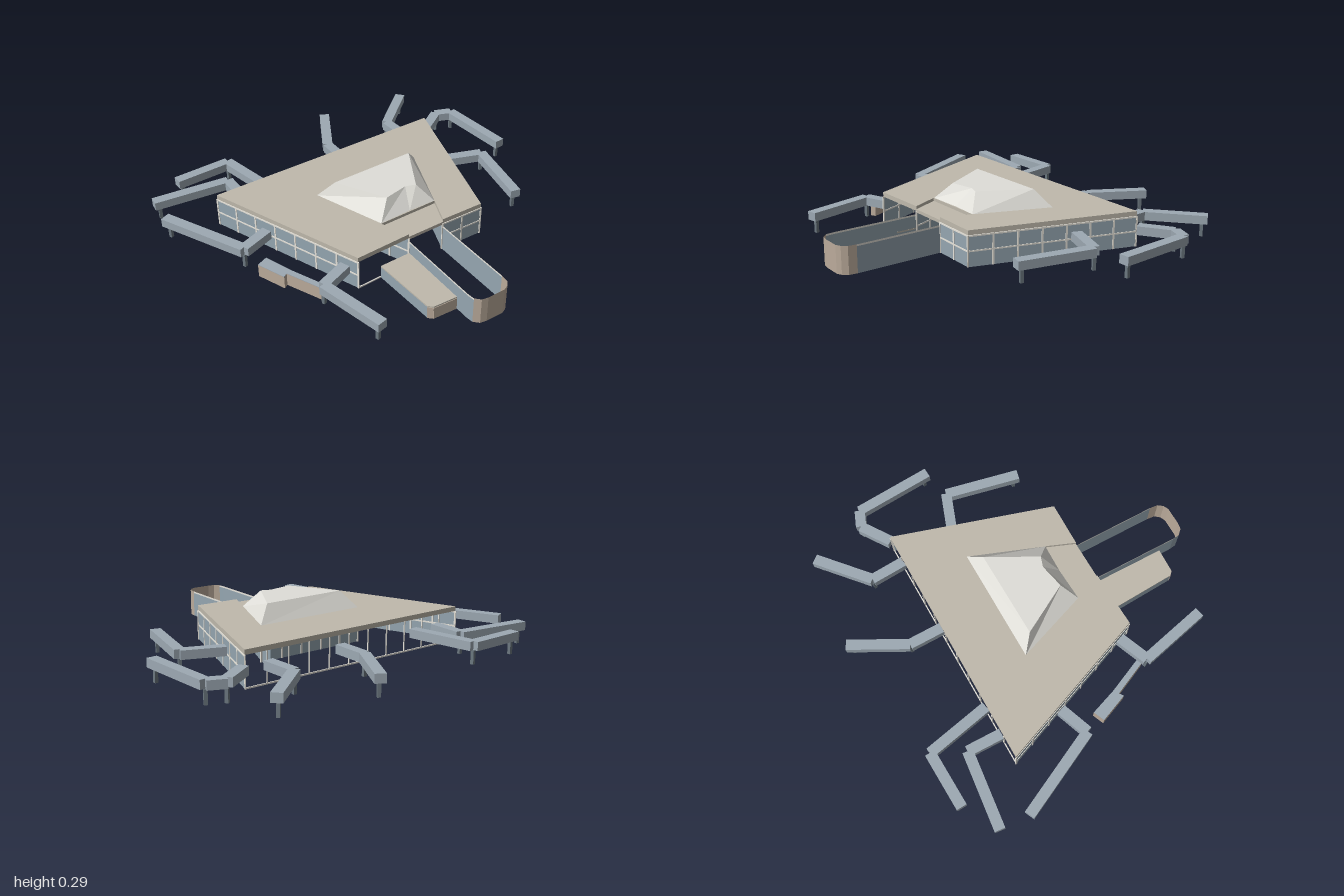
import * as THREE from 'three';

const mat = (name, color, side = THREE.FrontSide) => {
  const m = new THREE.MeshStandardMaterial({ color, side });
  m.name = name;
  return m;
};

export function createModel() {
  const model = new THREE.Group();
  model.name = 'terminal';
  const stone = mat('roofStone', 0xc0baad);
  const glass = mat('blueGlass', 0x95a6b1, THREE.DoubleSide);
  const metal = mat('bridgeMetal', 0x9da9b3);
  const dark = mat('legSteel', 0x6c7880);
  const beige = mat('beigePanel', 0xbbab9b, THREE.DoubleSide);
  const frame = mat('paleFrame', 0xe8e5dc, THREE.DoubleSide);
  const pale = mat('skylightPanel', 0xe0dfd9, THREE.DoubleSide);

  const add = (name, geo, material, parent = model) => {
    const mesh = new THREE.Mesh(geo, material);
    mesh.name = name;
    parent.add(mesh);
    return mesh;
  };

  // Vertical prism over a plan outline of [x, z] points
  const prism = (name, pts, y0, y1, material) => {
    const shape = new THREE.Shape(pts.map(([x, z]) => new THREE.Vector2(x, -z)));
    const geo = new THREE.ExtrudeGeometry(shape, { depth: y1 - y0, bevelEnabled: false });
    geo.rotateX(-Math.PI / 2).translate(0, y0, 0);
    return add(name, geo, material);
  };

  // Upright slab between two plan points; a flat sheet when it has no thickness
  const slab = (name, a, b, y0, y1, thick, material, parent) => {
    const dx = b[0] - a[0], dz = b[1] - a[1], len = Math.hypot(dx, dz);
    const geo = thick ? new THREE.BoxGeometry(len, y1 - y0, thick) : new THREE.PlaneGeometry(len, y1 - y0);
    const mesh = add(name, geo, material, parent);
    mesh.position.set((a[0] + b[0]) / 2, (y0 + y1) / 2, (a[1] + b[1]) / 2);
    mesh.rotation.y = -Math.atan2(dz, dx);
    return mesh;
  };

  // Framed wall: optional glass, posts at even spacing, rails at given heights
  const wall = (name, a, b, top, rails, postWidth, glazed = true) => {
    const g = new THREE.Group();
    g.name = name;
    model.add(g);
    const len = Math.hypot(b[0] - a[0], b[1] - a[1]);
    const n = Math.max(1, Math.round(len / 0.13));
    const at = (t) => [a[0] + (b[0] - a[0]) * t, a[1] + (b[1] - a[1]) * t];
    if (glazed) slab('glazing', a, b, 0, top, 0, glass, g);
    for (let i = 0; i <= n; i++) {
      const t = i / n, h = postWidth / 2 / len;
      slab('mullion', at(t - h), at(t + h), 0, top, 0.006, frame, g);
    }
    for (const y of rails) slab('rail', a, b, y, y + 0.008, 0.006, frame, g);
  };

  // Main roof slab with an entrance notch and a lower roof inside it
  const west = [-0.42, -0.70], north = [0.43, -0.33], east = [0.36, 0.46], south = [-0.55, 0.70];
  const notchN = [0.40, -0.08], notchS = [0.38, 0.14];
  const coreN = [0.25, -0.16], coreS = [0.22, 0.19], coreNW = [-0.14, -0.36], coreSW = [-0.20, 0.29];
  prism('mainRoof', [west, north, notchN, coreN, coreS, notchS, east, south], 0.169, 0.195, stone);
  prism('entranceRoof', [coreN, notchN, notchS, coreS], 0.16, 0.178, stone);

  // Outer walls: glazed at the front, back and north-east, open frames elsewhere
  wall('frontWall', south, east, 0.168, [0.08, 0.16], 0.01);
  wall('backWall', west, north, 0.168, [0.08, 0.16], 0.01);
  wall('sideWall', north, notchN, 0.168, [0.08, 0.16], 0.01);
  wall('openSideFrame', south, west, 0.168, [0], 0.005, false);
  slab('openSideSill', notchS, east, 0, 0.007, 0.006, frame);

  // Glazed core below the skylight
  wall('coreSideWall', coreNW, coreSW, 0.168, [0.08], 0.01);
  wall('coreFrontWall', coreSW, notchS, 0.168, [0.08], 0.01);
  slab('coreBackWall', notchN, [-0.30, -0.435], 0, 0.168, 0, glass);

  // Faceted skylight with a pinched east side
  const base = [coreNW, coreN, [0.23, 0.0], coreS, coreSW];
  const crown = [[-0.085, -0.27], [0.17, -0.095], [0.145, -0.04], [0.16, 0.10], [-0.125, 0.22]];
  const tri = [];
  const low = ([x, z]) => [x, 0.193, z], high = ([x, z]) => [x, 0.287, z];
  base.forEach((p, i) => {
    const j = (i + 1) % 5;
    tri.push(...low(p), ...high(crown[i]), ...low(base[j]));
    tri.push(...high(crown[i]), ...high(crown[j]), ...low(base[j]));
  });
  for (const [i, j] of [[3, 4], [4, 0], [0, 1]]) {
    tri.push(...high(crown[2]), ...high(crown[i]), ...high(crown[j]));
  }
  // Each triangle is turned so its corners run counter-clockwise from outside
  for (let k = 0; k < tri.length; k += 9) {
    const [a, b, c] = [0, 3, 6].map((o) => new THREE.Vector3().fromArray(tri, k + o));
    const n = b.clone().sub(a).cross(c.clone().sub(a));
    if (n.y < 0) {
      b.toArray(tri, k + 6);
      c.toArray(tri, k + 3);
    }
  }
  const sky = new THREE.BufferGeometry();
  sky.setAttribute('position', new THREE.Float32BufferAttribute(tri, 3));
  sky.computeVertexNormals();
  add('skylight', sky, pale);

  // Open-topped hall of thin sheets with a rounded beige end
  const hall = [notchN, [0.88, -0.025], [0.925, -0.015], [0.95, 0.01], [0.96, 0.04],
    [0.95, 0.14], [0.94, 0.175], [0.91, 0.198], [0.87, 0.198], notchS];
  for (let i = 0; i < hall.length - 1; i++) {
    const glazed = i === 0 || i >= 7;
    slab(glazed ? 'hallGlassWall' : 'hallEndWall', hall[i], hall[i + 1], 0, 0.141, 0, glazed ? glass : beige);
    slab('hallCoping', hall[i], hall[i + 1], 0.141, 0.151, 0, glazed ? frame : beige);
  }

  // Low wing beside the hall
  const wing = [[0.385, 0.14], [0.79, 0.19], [0.77, 0.325], [0.745, 0.345], [0.37, 0.32]];
  prism('wingBody', wing, 0, 0.068, glass);
  prism('wingRoof', wing, 0.068, 0.076, stone);
  slab('wingEndPanel', wing[1], wing[2], 0, 0.068, 0.006, beige);
  slab('wingCornerPanel', wing[2], wing[3], 0, 0.068, 0.006, beige);

  // Front annex and its link passage
  const annex = [[-0.065, 0.725], [0.09, 0.69], [0.12, 0.745], [-0.045, 0.79]];
  const link = [[0.09, 0.69], [0.30, 0.625], [0.31, 0.655], [0.105, 0.72]];
  for (const [name, pts] of [['annex', annex], ['annexLink', link]]) {
    prism(name + 'Body', pts, 0, 0.073, beige);
    prism(name + 'Roof', pts, 0.073, 0.076, metal);
  }

  // Boarding bridges: straight tubes along plan paths, with legs at bends and free ends
  const bridges = [
    [[-0.42, -0.71], [-0.51, -0.88], [-0.465, -0.968], [-0.02, -0.95]],
    [[-0.105, -0.565], [-0.005, -0.775], [0.40, -0.64]],
    [[-0.43, -0.565], [-0.625, -0.575], [-0.825, -0.86]],
    [[-0.47, -0.12], [-0.66, -0.14], [-0.945, -0.335]],
    [[-0.52, 0.38], [-0.895, 0.415], [-0.915, 0.74]],
    [[-0.535, 0.545], [-0.73, 0.52], [-0.82, 0.945]],
    [[-0.205, 0.62], [-0.16, 0.795], [-0.655, 0.97]],
    [[0.285, 0.485], [0.335, 0.66], [0.73, 0.615]],
  ];
  for (const path of bridges) {
    const g = new THREE.Group();
    g.name = 'boardingBridge';
    model.add(g);
    for (let i = 1; i < path.length; i++) {
      const a = path[i - 1], b = path[i];
      slab('bridgeTube', a, b, 0.075, 0.123, 0.058, metal, g);
      const inset = i === path.length - 1 ? 0.03 / Math.hypot(b[0] - a[0], b[1] - a[1]) : 0;
      const leg = add('bridgeLeg', new THREE.BoxGeometry(0.018, 0.076, 0.018), dark, g);
      leg.position.set(b[0] + (a[0] - b[0]) * inset, 0.038, b[1] + (a[1] - b[1]) * inset);
      leg.rotation.y = -Math.atan2(b[1] - a[1], b[0] - a[0]);
    }
  }

  return model;
}
